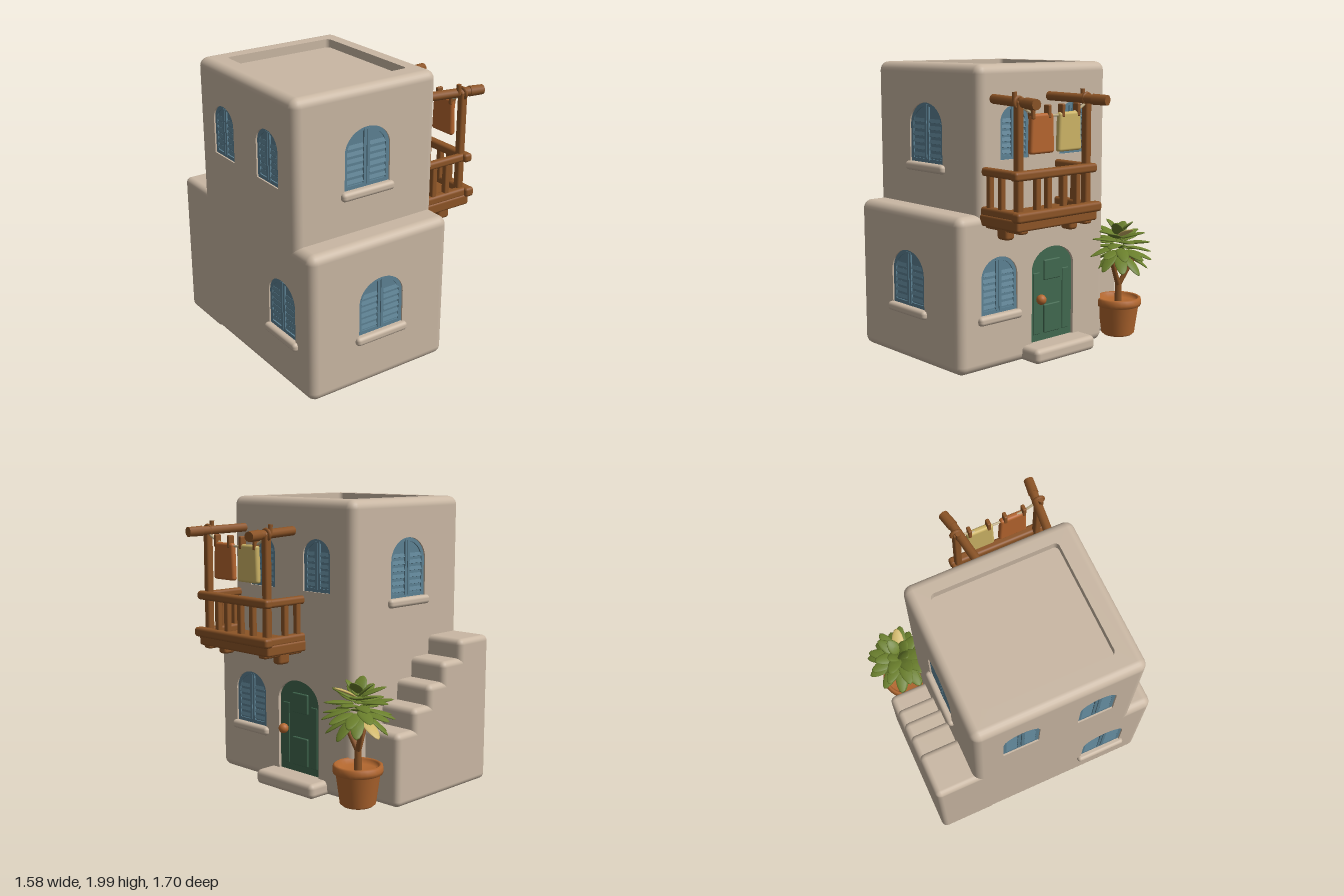
import * as THREE from 'three';
import { RoundedBoxGeometry } from 'three/addons/geometries/RoundedBoxGeometry.js';

const mat = (name, color) => Object.assign(new THREE.MeshStandardMaterial({ color }), { name });
const PLASTER = mat('plaster', 0xc9b7a3);
const BLUE = mat('shutterBlue', 0x5c8193);
const GREEN = mat('doorGreen', 0x41684f);
const WOOD = mat('wood', 0x8c5426);
const CLAY = mat('terracotta', 0xb4682f);
const ORANGE = mat('orangeCloth', 0xb5652e);
const YELLOW = mat('yellowCloth', 0xcdb466);
const LEAF = mat('leafGreen', 0x6a7f2c);
const ROPE = mat('rope', 0xc6b48c);

function add(parent, name, geo, material, x = 0, y = 0, z = 0) {
  const m = new THREE.Mesh(geo, material);
  m.name = name;
  m.position.set(x, y, z);
  parent.add(m);
  return m;
}

// Box with soft edges given by its extents
function softBox(parent, name, material, [x0, x1], [y0, y1], [z0, z1], r = 0.015) {
  const geo = new RoundedBoxGeometry(x1 - x0, y1 - y0, z1 - z0, 3, r);
  return add(parent, name, geo, material, (x0 + x1) / 2, (y0 + y1) / 2, (z0 + z1) / 2);
}

// Round bar between two points
function bar(parent, name, material, a, b, r0, r1 = r0) {
  const A = new THREE.Vector3(...a), B = new THREE.Vector3(...b);
  const m = add(parent, name, new THREE.CylinderGeometry(r1, r0, A.distanceTo(B), 10), material);
  m.position.copy(A).add(B).multiplyScalar(0.5);
  m.quaternion.setFromUnitVectors(new THREE.Vector3(0, 1, 0), B.sub(A).normalize());
  return m;
}

function arch(u, v0, w, h, rise) {
  const s = new THREE.Shape();
  s.moveTo(u - w / 2, v0);
  s.lineTo(u + w / 2, v0);
  s.lineTo(u + w / 2, v0 + h - rise);
  s.absellipse(u, v0 + h - rise, w / 2, rise, 0, Math.PI);
  s.closePath();
  return s;
}

function rect(u0, u1, v0, v1, r = 0) {
  const s = new THREE.Shape();
  if (!r) return s.moveTo(u0, v0).lineTo(u1, v0).lineTo(u1, v1).lineTo(u0, v1).closePath();
  s.absarc(u1 - r, v0 + r, r, -Math.PI / 2, 0);
  s.absarc(u1 - r, v1 - r, r, 0, Math.PI / 2);
  s.absarc(u0 + r, v1 - r, r, Math.PI / 2, Math.PI);
  s.absarc(u0 + r, v0 + r, r, Math.PI, Math.PI * 1.5);
  return s.closePath();
}

const extrude = (shape, depth) => new THREE.ExtrudeGeometry(shape, { depth, bevelEnabled: false, curveSegments: 20 });

// Soft-edged shell; the flat middle of each listed side (+x -x +y -y +z -z) is left open
function shell(parent, name, X, Y, Z, r, open) {
  const n = 7, k = 3, geo = new THREE.BoxGeometry(2, 2, 2, n, n, n);
  const h = [X, Y, Z].map(([a, b]) => (b - a) / 2);
  const p = geo.attributes.position, nor = geo.attributes.normal;
  const out = new THREE.Vector3(), inner = new THREE.Vector3();
  for (let i = 0; i < p.count; i++) {
    for (let a = 0; a < 3; a++) {
      const g = Math.round((p.getComponent(i, a) + 1) / 2 * n);
      const q = g <= k ? -h[a] + r * g / k : h[a] - r * (n - g) / k;
      inner.setComponent(a, THREE.MathUtils.clamp(q, r - h[a], h[a] - r));
      out.setComponent(a, q - inner.getComponent(a));
    }
    out.normalize();
    nor.setXYZ(i, out.x, out.y, out.z);
    out.multiplyScalar(r).add(inner);
    p.setXYZ(i, out.x, out.y, out.z);
  }
  const per = n * n * 6, mid = 24 * 6;
  geo.setIndex([...geo.index.array].filter((_, i) => {
    const c = i % per;
    return !(open.includes(Math.floor(i / per)) && c >= mid && c < mid + 6);
  }));
  add(parent, name, geo, PLASTER, (X[0] + X[1]) / 2, (Y[0] + Y[1]) / 2, (Z[0] + Z[1]) / 2);
}

// Side frame: local x runs along the wall, local z points outward
function side(parent, name, rx, ry) {
  const g = new THREE.Group();
  g.name = name;
  g.rotation.set(rx, ry, 0);
  parent.add(g);
  return g;
}

const RECESS = 0.025;
function wall(face, name, dist, bounds, holes, depth = RECESS) {
  const s = rect(...bounds);
  s.holes.push(...holes);
  add(face, name, extrude(s, depth), PLASTER, 0, 0, dist - depth);
}

// Shuttered window; returns its opening
function shutterWindow(face, dist, u, v, w, h, sill) {
  const rise = w * 0.44, g = new THREE.Group();
  g.name = 'window';
  g.position.set(u, v, dist - RECESS);
  face.add(g);
  add(g, 'shutterBoard', extrude(arch(0, -0.01, w + 0.02, h + 0.02, rise), 0.01), BLUE, 0, 0, -0.005);
  const ring = arch(0, 0, w, h, rise);
  ring.holes.push(arch(0, 0.025, w - 0.05, h - 0.05, rise - 0.02));
  add(g, 'shutterFrame', extrude(ring, 0.014), BLUE);
  for (const s of [-1, 1]) {
    add(g, 'shutterStile', new THREE.BoxGeometry(0.02, h - 0.03, 0.02), BLUE, s * 0.013, h / 2, 0.007);
    for (let i = 0; i < 6; i++) {
      const slat = add(g, 'slat', new THREE.BoxGeometry(w / 2 - 0.05, 0.026, 0.006), BLUE, s * w / 4, 0.05 + i * h * 0.115, 0.009);
      slat.rotation.x = -0.35;
    }
  }
  if (sill) softBox(face, 'windowSill', PLASTER, [u - w / 2 - 0.028, u + w / 2 + 0.028], [v - 0.06, v], [dist - 0.04, dist + 0.032], 0.024);
  return arch(u, v, w, h, rise);
}

function buildHouse(root) {
  const X = [-0.76, 0.33], r = 0.06;
  shell(root, 'lowerStorey', X, [0.015, 1.05], [-0.5, 0.82], r, [0, 1, 4]);
  shell(root, 'upperStorey', X, [0.88, 2], [-0.5, 0.655], r, [0, 1, 2, 4, 5]);
  const front = side(root, 'frontSide', 0, 0), back = side(root, 'backSide', 0, Math.PI);
  const left = side(root, 'leftSide', 0, Math.PI / 2), right = side(root, 'rightSide', 0, -Math.PI / 2);
  const roof = side(root, 'roof', -Math.PI / 2, 0);
  const low = [0.075, 0.99], high = [0.94, 1.94];

  wall(front, 'lowerFrontWall', 0.82, [-0.7, 0.27, ...low], [shutterWindow(front, 0.82, -0.215, 0.39, 0.35, 0.38, true)]);
  wall(front, 'upperFrontWall', 0.655, [-0.7, 0.27, ...high], [shutterWindow(front, 0.655, -0.215, 1.34, 0.35, 0.4, true)]);
  wall(back, 'upperBackWall', 0.5, [-0.27, 0.7, ...high], [shutterWindow(back, 0.5, 0.215, 1.34, 0.35, 0.4, true)]);

  // Side walls; s flips the direction along the wall
  for (const [face, dist, s] of [[left, 0.33, -1], [right, 0.76, 1]]) {
    const span = (a, b) => (s > 0 ? [a, b] : [-b, -a]);
    const holes = [shutterWindow(face, dist, s * 0.485, 0.39, 0.31, 0.375, true)];
    if (face === left) holes.push(arch(-0.005, 0.12, 0.39, 0.65, 0.15));
    wall(face, 'lowerSideWall', dist, [...span(-0.44, 0.76), ...low], holes);
    wall(face, 'upperSideWall', dist, [...span(-0.44, 0.595), ...high],
      [-0.175, 0.35].map((z) => shutterWindow(face, dist, s * z, 1.39, 0.25, 0.35, false)));
  }

  // Sunken roof terrace
  wall(roof, 'parapet', 2, [-0.7, 0.27, -0.595, 0.44], [rect(-0.61, 0.2, -0.505, 0.36, 0.03)], 0.06);
  softBox(root, 'roofFloor', PLASTER, [-0.66, 0.24], [1.91, 1.942], [-0.41, 0.56], 0.005);

  // Door
  add(left, 'door', extrude(arch(-0.005, 0.11, 0.41, 0.67, 0.155), 0.01), GREEN, 0, 0, 0.3);
  for (const [v0, v1, w] of [[0.54, 0.68, 0.15], [0.17, 0.37, 0.15]])
    softBox(left, 'doorPanel', GREEN, [-w / 2, w / 2], [v0, v1], [0.3, 0.322], 0.008);
  for (const u of [-0.14, 0.13])
    softBox(left, 'doorPanel', GREEN, [u - 0.03, u + 0.03], [0.17, 0.6], [0.3, 0.316], 0.006);
  add(left, 'doorKnob', new THREE.SphereGeometry(0.035, 16, 12), CLAY, -0.13, 0.42, 0.35);
  softBox(root, 'doorstep', PLASTER, [0.25, 0.478], [0.02, 0.122], [-0.27, 0.285], 0.035);

  // Outside stair, each step running back under the landing
  [[-0.44, 1.05], [-0.26, 0.92], [-0.115, 0.785], [0.035, 0.65], [0.2, 0.51]].forEach(([x, y]) =>
    softBox(root, 'stairStep', PLASTER, [-0.76, x], [0.015, y], [-0.78, -0.35], 0.04));
}

function buildBalcony(root) {
  const g = new THREE.Group();
  g.name = 'balcony';
  root.add(g);
  const zs = [0.58, -0.01];
  softBox(g, 'balconyFloor', WOOD, [0.3, 0.67], [0.985, 1.06], [-0.07, 0.635]);
  softBox(g, 'frontLowerRail', WOOD, [0.63, 0.7], [1.045, 1.11], [-0.085, 0.655], 0.02);
  softBox(g, 'frontTopRail', WOOD, [0.61, 0.675], [1.3, 1.36], [-0.065, 0.65], 0.02);
  for (const z of [0.45, 0.355, 0.22, 0.1])
    softBox(g, 'baluster', WOOD, [0.625, 0.665], [1.08, 1.32], [z - 0.021, z + 0.021], 0.01);
  zs.forEach((z, i) => {
    const e = z + (i ? -0.025 : 0.02);
    softBox(g, 'sideLowerRail', WOOD, [0.3, 0.7], [1.045, 1.108], [e - 0.03, e + 0.03], 0.02);
    softBox(g, 'sideTopRail', WOOD, [0.31, 0.675], [1.302, 1.358], [e - 0.026, e + 0.026], 0.02);
    for (const x of [0.375, 0.485])
      softBox(g, 'sideBaluster', WOOD, [x - 0.02, x + 0.02], [1.08, 1.32], [e - 0.02, e + 0.02], 0.01);
    softBox(g, 'post', WOOD, [0.592, 0.645], [1.02, 1.79], [z - 0.025, z + 0.025], 0.015);
    // Corbel and roof beam
    const c = i ? 0.005 : 0.565;
    softBox(g, 'joist', WOOD, [0.31, 0.66], [0.965, 1.02], [c - 0.035, c + 0.035]);
    softBox(g, 'corbel', WOOD, [0.435, 0.53], [0.91, 1.0], [c - 0.037, c + 0.037], 0.02);
    const a = [0.3, 1.785, i ? 0.05 : 0.53], b = [0.68, 1.775, i ? -0.005 : 0.572];
    bar(g, 'beam', WOOD, a, b, 0.031);
    bar(g, 'beamEnd', WOOD, b, [0.785, 1.772, i ? -0.03 : 0.585], 0.036, 0.034);
    const knot = add(g, 'lashing', new THREE.TorusGeometry(0.034, 0.012, 8, 18), WOOD, 0.62, 1.775, z);
    knot.rotation.y = Math.PI / 2;
    bar(g, 'beamPeg', WOOD, [0.585, 1.77, z], [0.582, 1.84, z], 0.016);
  });

  // Washing line
  const line = new THREE.CatmullRomCurve3([[1.75, 0.56], [1.7, 0.45], [1.685, 0.28], [1.7, 0.1], [1.75, 0]]
    .map(([y, z]) => new THREE.Vector3(0.622, y, z)));
  add(g, 'washingLine', new THREE.TubeGeometry(line, 24, 0.009, 6), ROPE);
  for (const [name, m, z] of [['orangeTowel', ORANGE, 0.396], ['yellowTowel', YELLOW, 0.157]]) {
    const geo = new RoundedBoxGeometry(0.042, 0.25, 0.19, 6, 0.018), p = geo.attributes.position;
    for (let i = 0; i < p.count; i++) p.setZ(i, p.getZ(i) * (1.03 - p.getY(i) * 0.45));
    add(g, name, geo, m, 0.624, 1.578, z);
  }
  for (const z of [0.475, 0.34, 0.22, 0.085])
    softBox(g, 'clothesPeg', WOOD, [0.6, 0.648], [1.67, 1.755], [z - 0.013, z + 0.013], 0.008);
}

function buildPlant(root) {
  const g = new THREE.Group();
  g.name = 'pottedPlant';
  g.position.set(0.38, 0, -0.6);
  root.add(g);
  const profile = [[0, 0.05], [0.1, 0.05], [0.118, 0.065], [0.145, 0.26], [0.162, 0.268], [0.166, 0.29],
    [0.162, 0.318], [0.15, 0.326], [0.135, 0.318], [0.13, 0.285], [0, 0.285]];
  add(g, 'pot', new THREE.LatheGeometry(profile.map(([x, y]) => new THREE.Vector2(x, y)), 28), CLAY);
  bar(g, 'trunk', WOOD, [0, 0.28, 0], [0, 0.43, 0], 0.027, 0.022);
  for (const [x, z] of [[0.03, 0.1], [0.06, -0.09], [-0.08, 0]])
    bar(g, 'branch', WOOD, [0, 0.41, 0], [x, 0.6, z], 0.02, 0.014);

  // Pointed, slightly curled leaf growing along +x
  const leafGeo = new THREE.SphereGeometry(1, 12, 8);
  const p = leafGeo.attributes.position;
  for (let i = 0; i < p.count; i++) {
    const t = (p.getX(i) + 1) / 2;
    p.setXYZ(i, t, p.getY(i) * 0.05 - t * t * 0.12, p.getZ(i) * 0.24 * (1.1 - 0.35 * t));
  }
  leafGeo.computeVertexNormals();
  // Tiers: count, height, start radius, leaf length, upward tilt
  [[9, 0.63, 0.05, 0.19, -0.5], [11, 0.67, 0.05, 0.2, -0.12], [9, 0.71, 0.03, 0.2, 0.22],
    [7, 0.75, 0.02, 0.17, 0.5], [4, 0.77, 0.005, 0.13, 1.0]].forEach(([n, y, r, len, tilt], tier) => {
    for (let i = 0; i < n; i++) {
      const a = (i / n) * Math.PI * 2 + tier * 0.5;
      const pale = (tier === 0 && i === 2) || (tier === 3 && i === 5);
      const leaf = add(g, 'leaf', leafGeo, pale ? YELLOW : LEAF, Math.cos(a) * r, y + (i % 2) * 0.018, -Math.sin(a) * r);
      leaf.scale.set(len, 0.2, 0.2);
      leaf.rotation.set(0, a, tilt + (i % 3 - 1) * 0.08);
    }
  });
}

export function createModel() {
  const root = new THREE.Group();
  root.name = 'adobeHouse';
  buildHouse(root);
  buildBalcony(root);
  buildPlant(root);
  return root;
}
